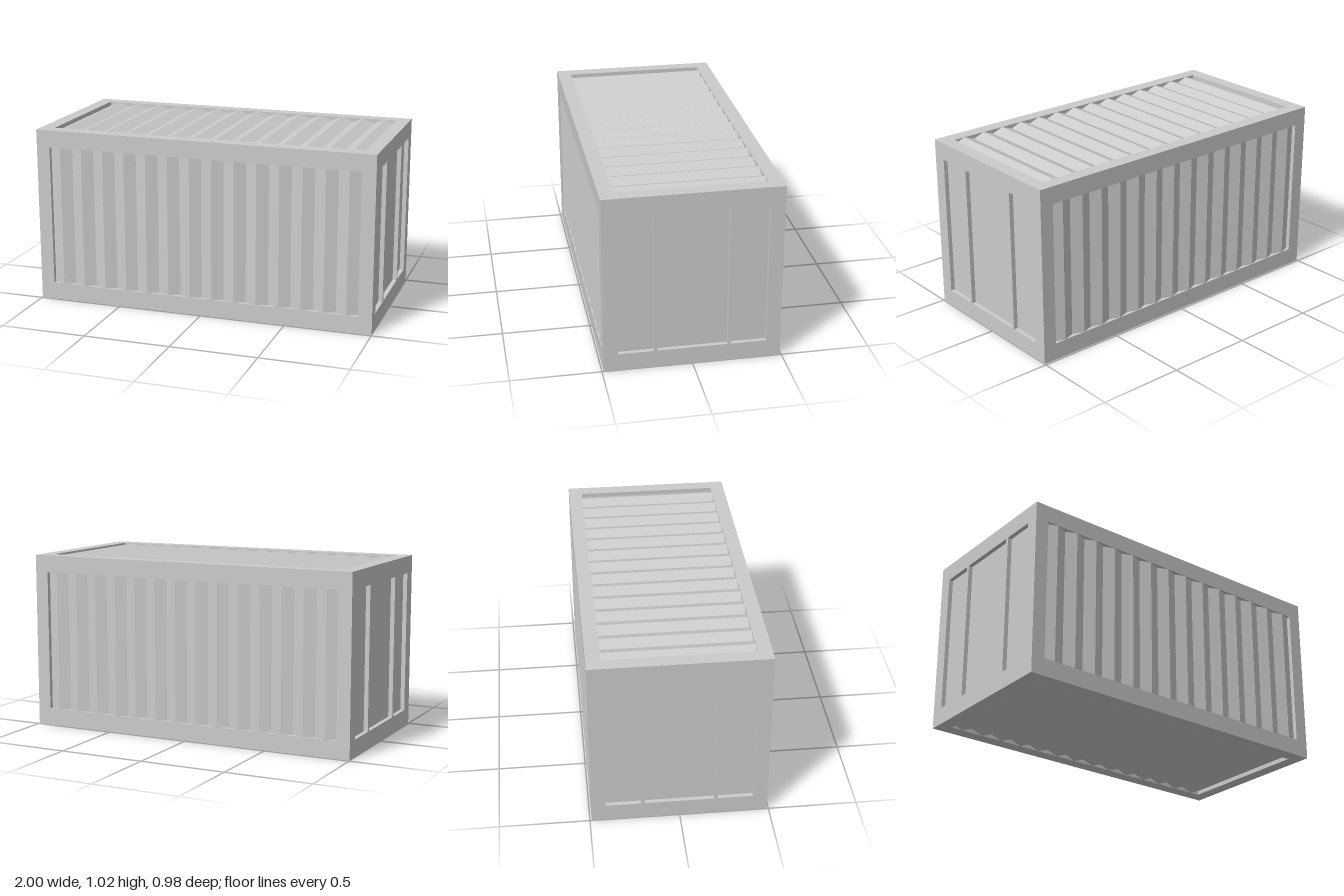
import * as THREE from 'three';

const LENGTH = 2, HEIGHT = 1.022, DEPTH = 0.98;
const RAIL = 0.1, POST = 0.08;          // beam height and beam width
const RECESS = 0.025, BACK = 0.05;      // groove depth and sheet back
const OPEN_X = LENGTH / 2 - POST, OPEN_Y = HEIGHT - 2 * RAIL, OPEN_Z = DEPTH - 2 * POST;
const WAVES = 14;

const material = new THREE.MeshStandardMaterial({ color: 0xcccccc, flatShading: true });

function addBox(parent, name, size, position) {
  const mesh = new THREE.Mesh(new THREE.BoxGeometry(...size), material);
  mesh.name = name;
  mesh.position.set(...position);
  parent.add(mesh);
}

// Zigzag sheet: ridges run along z, outer side faces +y, ridge tops at y = 0
function corrugatedGeometry(width) {
  const shape = new THREE.Shape();
  shape.moveTo(-OPEN_X, -BACK);
  shape.lineTo(OPEN_X, -BACK);
  for (let i = 2 * WAVES; i >= 0; i--) {
    shape.lineTo(-OPEN_X + (i * OPEN_X) / WAVES, i % 2 ? 0 : -RECESS);
  }
  shape.closePath();
  const geometry = new THREE.ExtrudeGeometry(shape, { depth: width, bevelEnabled: false });
  return geometry.translate(0, 0, -width / 2);
}

export function createModel() {
  const model = new THREE.Group();
  model.name = 'shippingContainer';
  const midY = HEIGHT / 2;

  // Frame: long rails, corner posts and end beams
  const frame = new THREE.Group();
  frame.name = 'frame';
  model.add(frame);
  const railY = midY - RAIL / 2, postZ = (DEPTH - POST) / 2, postX = (LENGTH - POST) / 2;
  for (const a of [-1, 1]) {
    for (const b of [-1, 1]) {
      addBox(frame, 'longRail', [LENGTH, RAIL, POST], [0, midY + a * railY, b * postZ]);
      addBox(frame, 'cornerPost', [POST, OPEN_Y, POST], [a * postX, midY, b * postZ]);
      addBox(frame, 'endBeam', [POST, RAIL, OPEN_Z], [a * postX, midY + b * railY, 0]);
    }
  }

  // Corrugated roof, front, floor and back
  const panels = [
    ['roofPanel', 0, OPEN_Z, [0, HEIGHT, 0]],
    ['frontPanel', 1, OPEN_Y, [0, midY, DEPTH / 2]],
    ['floorPanel', 2, OPEN_Z, [0, 0, 0]],
    ['backPanel', 3, OPEN_Y, [0, midY, -DEPTH / 2]],
  ];
  for (const [name, turns, width, position] of panels) {
    const mesh = new THREE.Mesh(corrugatedGeometry(width), material);
    mesh.name = name;
    mesh.rotation.x = (turns * Math.PI) / 2;
    mesh.position.set(...position);
    model.add(mesh);
  }

  // Both ends: recessed wall split in three by two slim bars
  for (const s of [-1, 1]) {
    const end = new THREE.Group();
    end.name = s > 0 ? 'rightEnd' : 'leftEnd';
    model.add(end);
    const thick = BACK - RECESS;
    addBox(end, 'endPanel', [thick, OPEN_Y, OPEN_Z], [s * (LENGTH / 2 - RECESS - thick / 2), midY, 0]);
    for (const z of [-0.204, 0.204]) {
      addBox(end, 'dividerBar', [RECESS, OPEN_Y, 0.02], [s * (LENGTH / 2 - RECESS / 2), midY, z]);
    }
  }
  // The model's own left is +x
  model.getObjectByName('rightEnd').name = 'plusEnd';
  model.getObjectByName('leftEnd').name = 'rightEnd';
  model.getObjectByName('plusEnd').name = 'leftEnd';
  return model;
}
